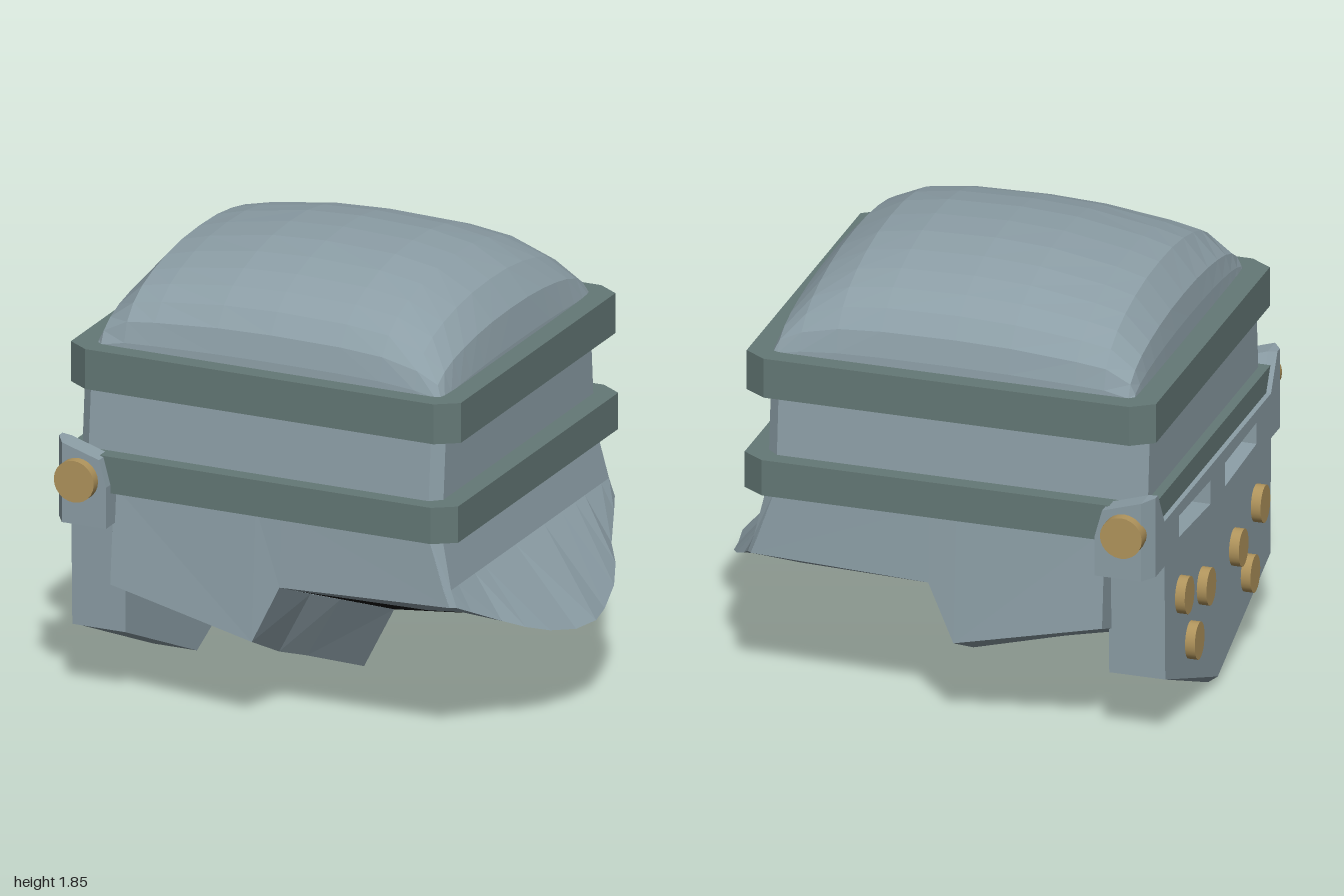
import * as THREE from 'three';

const paint = (color) => new THREE.MeshStandardMaterial({ color, flatShading: true, side: THREE.DoubleSide });
const steel = paint(0x8c9ea6), bandSteel = paint(0x647876), dark = paint(0x111111);
const brass = new THREE.MeshStandardMaterial({ color: 0xb0945c });

function add(group, name, geometry, material) {
  const mesh = new THREE.Mesh(geometry, material);
  mesh.name = name;
  group.add(mesh);
  return mesh;
}

// Faceted sheet through rows of [x, y, z]; optionally doubled across z = 0
function sheet(rows, mirror = true) {
  const out = [];
  const tri = (a, b, c) => {
    out.push(...a, ...b, ...c);
    if (mirror) for (const p of [a, c, b]) out.push(p[0], p[1], -p[2]);
  };
  for (let r = 0; r + 1 < rows.length; r++) {
    for (let i = 0; i + 1 < rows[r].length; i++) {
      const a = rows[r][i], b = rows[r][i + 1], c = rows[r + 1][i + 1], d = rows[r + 1][i];
      tri(a, d, c);
      tri(a, c, b);
    }
  }
  const g = new THREE.BufferGeometry();
  g.setAttribute('position', new THREE.Float32BufferAttribute(out, 3));
  g.computeVertexNormals();
  return g;
}

// Rectangle with cut corners, seen from above
function plan(x0, x1, z, cx, cz) {
  return [[x0, z - cz], [x0 + cx, z], [x1 - cx, z], [x1, z - cz],
    [x1, cz - z], [x1 - cx, -z], [x0 + cx, -z], [x0, cz - z]];
}

// Piecewise-linear lookup
function lookup(table, t) {
  let i = 1;
  while (i < table.length - 1 && t > table[i][0]) i++;
  const [a, b] = [table[i - 1], table[i]];
  return THREE.MathUtils.mapLinear(t, a[0], b[0], a[1], b[1]);
}

function domeGeometry() {
  const along = [[-0.85, 0], [-0.84, 0.25], [-0.82, 0.48], [-0.72, 0.78], [-0.6, 0.86], [-0.33, 0.97], [-0.1, 1],
    [0.2, 0.975], [0.38, 0.9], [0.53, 0.7], [0.62, 0.44], [0.65, 0.12], [0.655, 0]];
  const half = [[0, 1], [0.16, 0.985], [0.3, 0.93], [0.42, 0.85], [0.52, 0.75], [0.6, 0.61], [0.66, 0.42], [0.685, 0.17], [0.69, 0]];
  return sheet(half.map(([z, g]) => along.map(([x, f]) => [x, 1.44 + 0.41 * f * g, z])));
}

function bandGeometry(outline, y0, y1) {
  const shape = new THREE.Shape(outline.map(([x, z]) => new THREE.Vector2(x, -z)));
  return new THREE.ExtrudeGeometry(shape, { depth: y1 - y0, bevelEnabled: false })
    .rotateX(-Math.PI / 2).translate(0, y0, 0);
}

// Visor slab: outline extruded along x, its edges trimmed at each depth
function visorGeometry() {
  const right = [[0, 0], [0.65, 0.285], [0.66, 0.77], [0.83, 0.77], [0.83, 1.105], [0.74, 1.105], [0.66, 0.96]];
  const left = right.slice(1).reverse().map(([z, y]) => [-z, y]);
  const shape = new THREE.Shape([...right, ...left].map((p) => new THREE.Vector2(...p)));
  for (const s of [-1, 1]) {
    shape.holes.push(new THREE.Path([[0.09, 0.8], [0.48, 0.82], [0.48, 0.91], [0.09, 0.9]]
      .map(([z, y]) => new THREE.Vector2(s * z, y))));
  }
  const g = new THREE.ExtrudeGeometry(shape, { depth: 3, steps: 3, bevelEnabled: false });
  const xs = [-0.96, -0.92, -0.76, -0.73], tops = [1.105, 1.1, 1.05, 0.94];
  const p = g.attributes.position;
  for (let i = 0; i < p.count; i++) {
    const level = Math.round(p.getZ(i));
    let z = -p.getX(i), y = Math.min(p.getY(i), tops[level]);
    if (level === 0) {
      if (Math.abs(z) > 0.8) z = Math.sign(z) * 0.77;
      if (y < 0.1) y += 0.03;
    }
    p.setXYZ(i, xs[level], y, z);
  }
  g.computeVertexNormals();
  return g;
}

export function createModel() {
  const helmet = new THREE.Group();
  helmet.name = 'helmet';

  // Skull: dome, straight wall and two raised bands
  add(helmet, 'dome', domeGeometry(), steel);
  const ring = (y, z) => {
    const pts = plan(-0.9, 0.655, z, 0.045, 0.04).map(([x, pz]) => [x, y, pz]);
    return [...pts, pts[0]];
  };
  add(helmet, 'wall', sheet([ring(1.45, 0.69), ring(0.905, 0.735)], false), steel);
  add(helmet, 'upperBand', bandGeometry(plan(-0.94, 0.74, 0.765, 0.09, 0.06), 1.31, 1.475), bandSteel);
  add(helmet, 'lowerBand', bandGeometry(plan(-0.94, 0.74, 0.79, 0.09, 0.06), 0.905, 1.055), bandSteel);

  // Cheeks below the lower band
  add(helmet, 'cheeks', sheet([
    [[-0.74, 0.92, 0.735], [-0.13, 0.92, 0.735], [-0.02, 0.92, 0.735], [0.61, 0.92, 0.735]],
    [[-0.74, 0.52, 0.77], [-0.13, 0.375, 0.77], [-0.02, 0.61, 0.75], [0.71, 0.635, 0.745]],
  ]), steel);

  // Flared neck guard, each entry being the rim: x, y, z
  const rim = [[0.71, 0.635, 0.745], [0.73, 0.63, 0.72], [0.76, 0.595, 0.65], [0.82, 0.52, 0.5],
    [0.88, 0.475, 0.41], [0.93, 0.43, 0.29], [0.965, 0.39, 0.13], [0.99, 0.388, 0]];
  const neckTop = rim.map(([, , z], i) => [i ? 0.655 : 0.61, 0.92, i === 1 ? 0.7 : z * 0.985]);
  const neckMid = rim.map(([, , z], i) => [i ? 0.705 : 0.685, 0.7, z]);
  add(helmet, 'neckGuard', sheet([neckTop, neckMid, rim]), steel);

  // Underside: steel lip around the dark opening
  const lip = rim.map(([, , z]) => {
    const t = Math.min(z / 0.72, 1);
    return [0.74 - 0.19 * t, 0.365 + 0.19 * t, 0.6 * t];
  });
  add(helmet, 'openingLip', sheet([[[-0.02, 0.61, 0.75], ...rim], [[-0.01, 0.548, 0.6], ...lip]]), steel);
  add(helmet, 'neckOpening', sheet([
    [[-0.01, 0.548, 0.6], [0.12, 0.3, 0]],
    [[0.55, 0.555, 0.6], [0.74, 0.365, 0]],
  ]), dark);

  // V-shaped jaw: underside and rear face
  const jawEdge = [[-0.13, 0.375, 0.77], [-0.13, 0.255, 0.52], [-0.09, 0.19, 0.35], [-0.01, 0.045, 0]];
  const jawFront = jawEdge.map(([, , z]) => [-0.74, 0.21 + 0.31 * z / 0.77, z]);
  const jawRear = [[-0.02, 0.61, 0.75], [0, 0.51, 0.51], [0.05, 0.44, 0.34], [0.12, 0.3, 0]];
  add(helmet, 'jaw', sheet([jawFront, jawEdge, jawRear]), steel);
  add(helmet, 'jawFront', sheet([jawFront.map(([x, , z]) => [x, 0.92, z * 0.955]), jawFront]), steel);

  // Visor with eye slits, dark behind them
  add(helmet, 'visor', visorGeometry(), steel);
  add(helmet, 'eyeShadow', new THREE.BoxGeometry(0.02, 0.14, 1.1).translate(-0.85, 0.85, 0), dark);

  // Studs on the visor and hinge bolts on its ears
  for (const s of [-1, 1]) {
    for (const [z, y] of [[0.47, 0.575], [0.2, 0.5], [0.345, 0.33]]) {
      const stud = add(helmet, 'visorStud', new THREE.CylinderGeometry(0.078, 0.078, 0.06, 24).rotateZ(Math.PI / 2), brass);
      stud.scale.z = 0.78;
      stud.position.set(-0.97, y, s * z);
    }
    const bolt = add(helmet, 'hingeBolt', new THREE.CylinderGeometry(0.086, 0.086, 0.08, 24).rotateX(Math.PI / 2), brass);
    bolt.position.set(-0.85, 0.96, s * 0.83);
  }
  return helmet;
}
